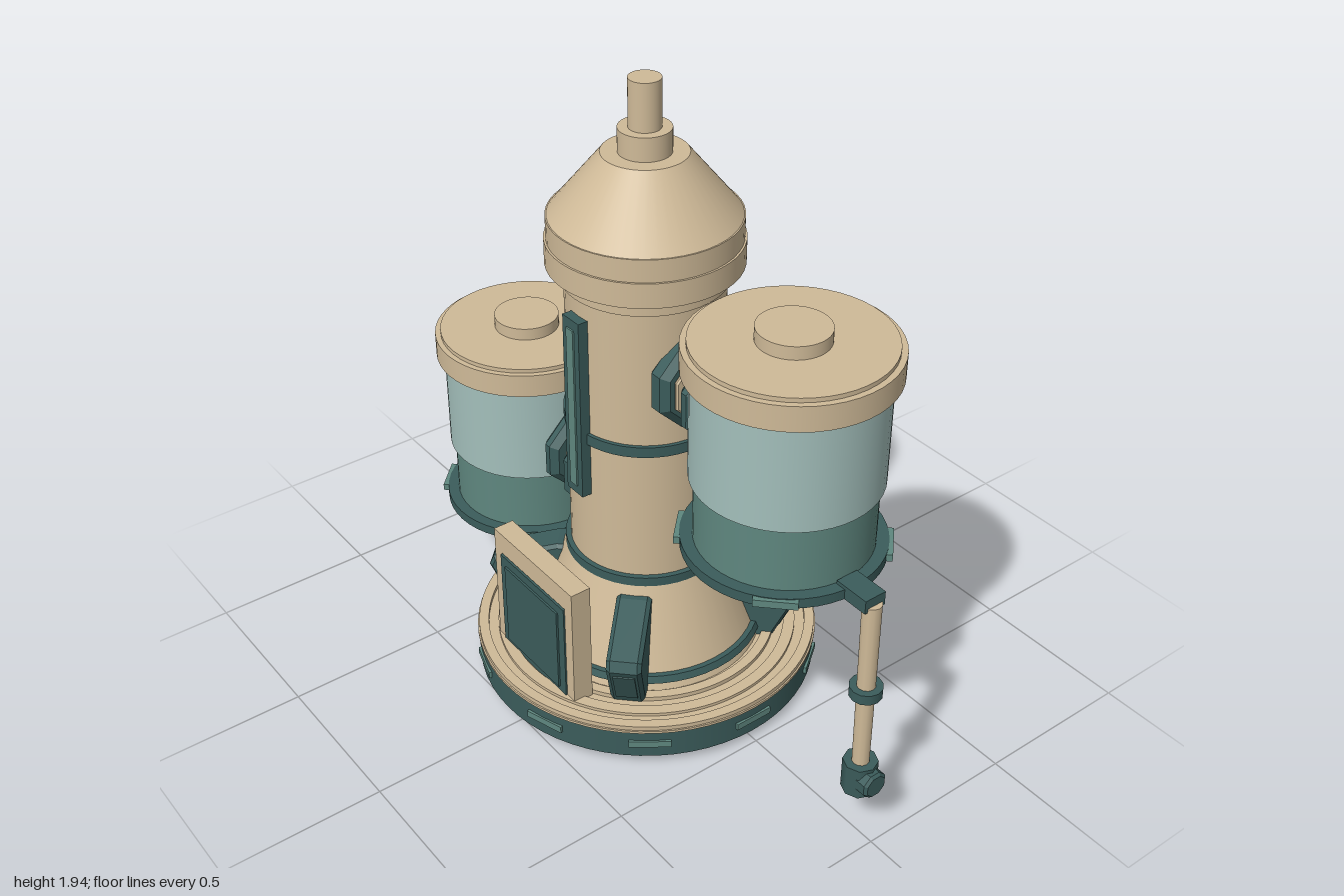
import * as THREE from 'three';

const mat = (name, color) => {
  const m = new THREE.MeshStandardMaterial({ color });
  m.name = name;
  return m;
};

export function createModel() {
  const tan = mat('sand metal', 0xcfba98);
  const glass = mat('pale glass', 0xa3bfbb);
  const teal = mat('teal', 0x5f877f);
  const dark = mat('dark teal', 0x3b5c5b);
  const model = new THREE.Group();
  model.name = 'siloPlant';

  const add = (parent, name, geo, material, x = 0, y = 0, z = 0) => {
    const m = new THREE.Mesh(geo, material);
    m.name = name;
    m.position.set(x, y, z);
    parent.add(m);
    return m;
  };
  const group = (parent, name, x = 0, y = 0, z = 0) => {
    const g = new THREE.Group();
    g.name = name;
    g.position.set(x, y, z);
    parent.add(g);
    return g;
  };
  // upright drum between two heights
  const drum = (parent, name, material, y0, y1, r0, r1 = r0, x = 0, sides = 48) =>
    add(parent, name, new THREE.CylinderGeometry(r1, r0, y1 - y0, sides), material, x, (y0 + y1) / 2);
  const box = (parent, name, material, w, h, d, x, y, z) =>
    add(parent, name, new THREE.BoxGeometry(w, h, d), material, x, y, z);
  // drum lying along x with chamfered rims
  const hub = (parent, name, material, x0, x1, r, chamfer) => {
    const w = x1 - x0;
    const pts = [[0, 0], [r - chamfer, 0], [r, chamfer], [r, w - chamfer], [r - chamfer, w], [0, w]]
      .map(([a, b]) => new THREE.Vector2(a, b));
    const geo = new THREE.LatheGeometry(pts, 8, Math.PI / 8).toNonIndexed();
    geo.computeVertexNormals();
    geo.rotateZ(-Math.PI / 2);
    return add(parent, name, geo, material, x0);
  };
  // thin plates set around a rim
  const rimPlates = (parent, count, start, r, y, w, h) => {
    for (let i = 0; i < count; i++) {
      const a = start + (i / count) * Math.PI * 2;
      const p = box(parent, 'rimPlate', teal, w, h, 0.02, Math.sin(a) * r, y, Math.cos(a) * r);
      p.rotation.y = a;
    }
  };

  const CX = -0.043;
  const tower = group(model, 'tower', CX);

  // base platform
  drum(tower, 'basePlate', dark, 0.03, 0.122, 0.526, 0.526, 0, 64);
  drum(tower, 'deck', tan, 0.122, 0.13, 0.53, 0.53, 0, 64);
  for (const [r0, r1, h] of [[0.495, 0.525, 0.014], [0.43, 0.465, 0.01], [0.37, 0.4, 0.014]]) {
    const s = new THREE.Shape().absarc(0, 0, r1, 0, Math.PI * 2);
    s.holes.push(new THREE.Path().absarc(0, 0, r0, 0, Math.PI * 2));
    const g = new THREE.ExtrudeGeometry(s, { depth: h, bevelEnabled: false, curveSegments: 48 });
    add(tower, 'deckRing', g.rotateX(-Math.PI / 2), tan, 0, 0.13);
  }
  rimPlates(tower, 10, Math.PI / 10, 0.521, 0.08, 0.125, 0.022);

  // column and head
  drum(tower, 'skirt', tan, 0.13, 0.45, 0.355, 0.24);
  drum(tower, 'skirtBand', dark, 0.16, 0.182, 0.36, 0.352);
  drum(tower, 'column', tan, 0.44, 1.41, 0.229);
  drum(tower, 'lowerBand', dark, 0.44, 0.47, 0.245);
  drum(tower, 'middleBand', dark, 0.898, 0.932, 0.24);
  drum(tower, 'upperCollar', tan, 1.358, 1.39, 0.241);
  drum(tower, 'headRing', tan, 1.405, 1.48, 0.28);
  drum(tower, 'headDrum', tan, 1.48, 1.548, 0.274);
  drum(tower, 'headCone', tan, 1.548, 1.73, 0.27, 0.122);
  drum(tower, 'neck', tan, 1.73, 1.8, 0.075);
  drum(tower, 'chimney', tan, 1.8, 1.94, 0.046);

  // gauge on the front of the column
  box(tower, 'gaugeFrame', dark, 0.075, 0.58, 0.05, 0, 1.01, 0.232);
  box(tower, 'gaugeGlass', teal, 0.032, 0.52, 0.006, 0, 1.01, 0.259);

  // framed panels, front and back
  for (const turn of [0, Math.PI]) {
    const p = group(tower, 'framedPanel');
    p.rotation.y = turn;
    box(p, 'panelTop', tan, 0.4, 0.07, 0.065, 0, 0.503, 0.385);
    for (const s of [-1, 1]) box(p, 'panelPost', tan, 0.036, 0.35, 0.065, s * 0.182, 0.295, 0.385);
    box(p, 'panelBack', tan, 0.34, 0.35, 0.03, 0, 0.295, 0.37);
    box(p, 'panelDoor', dark, 0.328, 0.335, 0.045, 0, 0.297, 0.4);
    box(p, 'panelInset', dark, 0.27, 0.28, 0.008, 0, 0.297, 0.425);
  }

  // diagonal buttresses and feet
  const profile = new THREE.Shape([[0.2, 0.4], [0.27, 0.4], [0.465, 0.335], [0.475, 0.31], [0.39, 0.13], [0.27, 0.13]]
    .map(([a, b]) => new THREE.Vector2(a, b)));
  for (let i = 0; i < 4; i++) {
    const q = group(tower, 'buttress');
    q.rotation.y = Math.PI / 4 + (i * Math.PI) / 2;
    const g = new THREE.ExtrudeGeometry(profile, {
      depth: 0.08, bevelThickness: 0.012, bevelSize: 0.01, bevelSegments: 1 });
    add(q, 'buttressBody', g.translate(0, 0, -0.04), dark);
    const cover = box(q, 'buttressCover', dark, 0.012, 0.14, 0.065, 0.444, 0.225, 0);
    cover.rotation.z = -0.44;
    box(q, 'foot', dark, 0.08, 0.04, 0.08, 0.37, 0.02, 0);
  }

  // storage tanks, built at the right-hand tank's height
  const makeTank = (name, x, y) => {
    const t = group(model, name, x, y);
    drum(t, 'lid', tan, 1.355, 1.43, 0.289);
    drum(t, 'lidTop', tan, 1.43, 1.443, 0.272);
    drum(t, 'lidKnob', tan, 1.443, 1.482, 0.101);
    drum(t, 'window', glass, 1.032, 1.355, 0.264);
    drum(t, 'lowerDrum', teal, 0.82, 1.032, 0.249);
    drum(t, 'ring', dark, 0.802, 0.833, 0.284);
    drum(t, 'hopper', tan, 0.68, 0.802, 0.1, 0.26);
    drum(t, 'outlet', dark, 0.662, 0.684, 0.092);
    rimPlates(t, 4, Math.PI / 4, 0.285, 0.82, 0.12, 0.022);
    return t;
  };
  const rightTank = makeTank('upperTank', 0.577, 0);
  const leftTank = makeTank('lowerTank', -0.666, -0.545);

  // couplings between column and tanks
  for (const [y, turn] of [[1.127, 0], [0.588, Math.PI]]) {
    const c = group(tower, 'coupling', 0, y);
    c.rotation.y = turn;
    hub(c, 'columnFlange', dark, 0.183, 0.262, 0.145, 0.022);
    hub(c, 'couplingPipe', tan, 0.25, 0.32, 0.085, 0.005);
    hub(c, 'couplingCollar', tan, 0.262, 0.277, 0.11, 0.005);
    hub(c, 'tankFlange', dark, 0.305, 0.37, 0.138, 0.022);
  }

  // nozzle: chamfered block with a stub
  const makeNozzle = (parent, x, y) => {
    const n = group(parent, 'nozzle', x, y);
    drum(n, 'nozzleBody', dark, -0.05, 0.05, 0.05, 0.05, 0, 8);
    hub(n, 'nozzleTip', dark, 0.015, 0.067, 0.042, 0.008);
    return n;
  };

  // long drop pipe on the upper tank
  box(rightTank, 'pipeBracket', dark, 0.11, 0.042, 0.07, 0.305, 0.823, 0);
  const drop = drum(rightTank, 'dropPipe', tan, 0.24, 0.815, 0.025, 0.028, 0.353, 12);
  drop.rotation.z = 0.012;
  drum(rightTank, 'pipeClamp', dark, 0.505, 0.537, 0.047, 0.047, 0.353, 12);
  makeNozzle(rightTank, 0.356, 0.215);

  // short outlet pipe on the lower tank
  const outlet = group(leftTank, 'shortOutlet', 0, 0.545);
  outlet.rotation.y = Math.PI;
  box(outlet, 'outletBracket', dark, 0.05, 0.035, 0.07, 0.275, 0.272, 0);
  const pipe = add(outlet, 'outletPipe', new THREE.CylinderGeometry(0.022, 0.022, 0.16, 12), tan, 0.23, 0.21);
  pipe.rotation.z = Math.PI / 2;
  hub(outlet, 'outletTip', dark, 0.268, 0.334, 0.055, 0.012).position.y = 0.226;

  return model;
}
